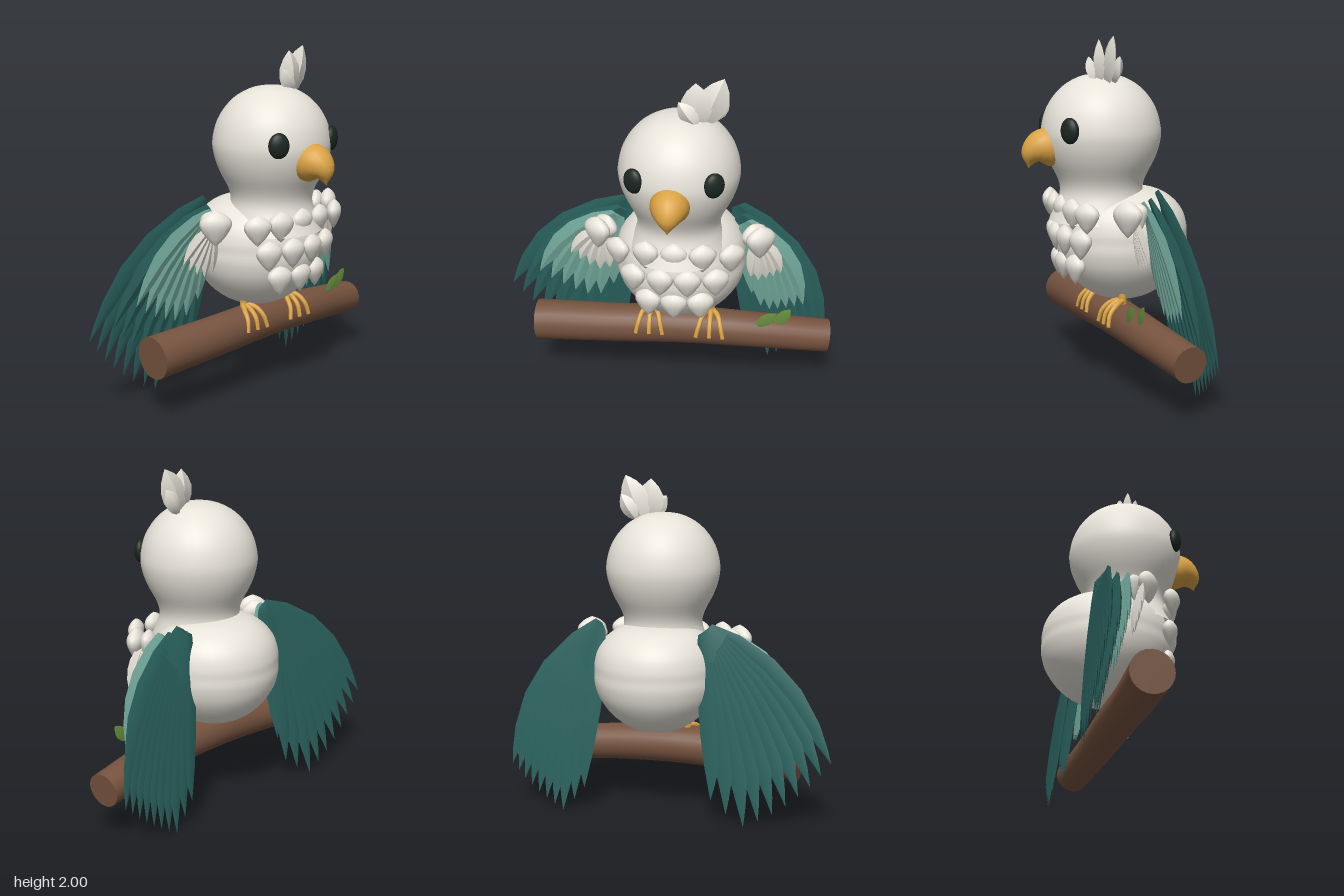
import * as THREE from 'three';
import { toCreasedNormals } from 'three/addons/utils/BufferGeometryUtils.js';

const mat = (name, color) => Object.assign(new THREE.MeshStandardMaterial({ color }), { name });
const white = mat('whitePlumage', 0xe8e4da);
const darkTeal = mat('darkTeal', 0x2a625e);
const lightTeal = mat('lightTeal', 0x76ad9f);
const brown = mat('bark', 0x76533f);
const gold = mat('gold', 0xdba344);
const black = mat('eyeBlack', 0x1a2621);
const green = mat('leafGreen', 0x66903d);

const V = (x, y, z) => new THREE.Vector3(x, y, z);
const lerp = THREE.MathUtils.lerp;

function add(parent, name, geometry, material, x = 0, y = 0, z = 0) {
  const m = new THREE.Mesh(geometry, material);
  m.name = name;
  m.position.set(x, y, z);
  parent.add(m);
  return m;
}

// Skin a list of equal rings and close both ends
function loft(rings, crease = 0.9) {
  const n = rings[0].length, pos = [], idx = [];
  rings.flat().forEach(p => pos.push(p.x, p.y, p.z));
  for (let i = 0; i < rings.length - 1; i++) {
    for (let j = 0; j < n; j++) {
      const a = i * n + j, b = i * n + (j + 1) % n;
      idx.push(a, b, a + n, b, b + n, a + n);
    }
  }
  [0, rings.length - 1].forEach((r, end) => {
    const c = rings[r].reduce((s, p) => s.add(p), V(0, 0, 0)).divideScalar(n);
    const k = pos.length / 3;
    pos.push(c.x, c.y, c.z);
    for (let j = 0; j < n; j++) {
      const a = r * n + j, b = r * n + (j + 1) % n;
      if (end) idx.push(k, a, b); else idx.push(k, b, a);
    }
  });
  const g = new THREE.BufferGeometry();
  g.setAttribute('position', new THREE.Float32BufferAttribute(pos, 3));
  g.setIndex(idx);
  return toCreasedNormals(g, crease);
}

// Round sweep through points [x, y, z, radius]
function sweep(points, steps, sides) {
  const path = new THREE.CatmullRomCurve3(points.map(p => V(p[0], p[1], p[2])));
  const radii = new THREE.SplineCurve(points.map((p, i) => new THREE.Vector2(i, p[3])));
  const rings = [];
  for (let i = 0; i <= steps; i++) {
    const t = i / steps, c = path.getPoint(t), T = path.getTangent(t);
    const ref = Math.abs(T.x) > 0.8 ? V(0, 1, 0) : V(1, 0, 0);
    const B = T.clone().cross(ref).normalize(), N = B.clone().cross(T);
    const r = Math.max(radii.getPoint(t).y, 0);
    rings.push(Array.from({ length: sides }, (_, j) => {
      const a = j / sides * Math.PI * 2;
      return c.clone().addScaledVector(N, r * Math.cos(a)).addScaledVector(B, r * Math.sin(a));
    }));
  }
  return loft(rings);
}

// Pointed blade hanging down from its root, bowed sideways by bend
function feather(length, half, thick, bend = 0) {
  const shape = [[0, 0.35], [0.15, 0.75], [0.38, 1], [0.6, 0.95], [0.8, 0.62], [0.92, 0.28], [1, 0.01]];
  return loft(shape.map(([t, w]) => [0, 1, 2, 3].map(j => {
    const a = j * Math.PI / 2;
    return V(half * w * Math.cos(a) + bend * 4 * t * (1 - t), -length * t, thick * w * Math.sin(a));
  })), 0.5);
}

// Turned shape with a smooth profile of [radius, y], bottom to top
function turned(points, segments = 40) {
  const curve = new THREE.SplineCurve(points.map(p => new THREE.Vector2(p[0], p[1])));
  const pts = curve.getPoints(36);
  pts.forEach(p => { p.x = Math.max(p.x, 0); });
  return new THREE.LatheGeometry(pts, segments);
}

// Plump drop-shaped plume
function plume(scale) {
  const g = turned([[0, -0.095], [0.035, -0.06], [0.068, -0.008], [0.068, 0.028], [0.038, 0.058], [0, 0.075]], 12);
  return g.scale(scale * 1.06, scale, scale * 0.58);
}

function makeWing(s) {
  const wing = new THREE.Group();
  wing.name = s > 0 ? 'leftWing' : 'rightWing';
  const spread = s > 0 ? 0.66 : 1;
  // [name, material, count, root x, y, z, inner angle, outer angle, inner, middle, outer length, half width, bend]
  const layers = [
    ['flightFeather', darkTeal, 10, 0.31, 1.15, -0.12, 5, 46, 0.97, 1.15, 1.05, 0.074, 0.095],
    ['secondaryFeather', darkTeal, 8, 0.33, 1.11, -0.06, 5, 45, 0.8, 0.92, 0.88, 0.07, 0.08],
    ['covertFeather', lightTeal, 7, 0.36, 1.1, 0.0, 7, 45, 0.5, 0.64, 0.69, 0.066, 0.065],
    ['shoulderFeather', white, 5, 0.43, 1.03, 0.09, -3, 44, 0.24, 0.27, 0.27, 0.042, 0.02],
  ];
  for (const [name, m, n, x, y, z, a0, a1, l0, l1, l2, w, bend] of layers) {
    for (let i = 0; i < n; i++) {
      const t = i / (n - 1);
      const len = t < 0.22 ? lerp(l0, l1, t / 0.22) : lerp(l1, l2, (t - 0.22) / 0.78);
      const f = add(wing, name, feather(len, w, 0.018, s * bend * (0.3 + 0.7 * t)), m,
        s * (x + 0.03 * t), y - 0.04 * (1 - t), z + 0.005 * i);
      f.rotation.set(0.1, s * 0.08, s * THREE.MathUtils.degToRad(lerp(a0, a1 * spread, t)));
    }
  }
  // Plumes capping the shoulder
  add(wing, 'shoulderPlume', plume(1.2), white, s * 0.47, 1.04, 0.15).rotation.y = s * 0.6;
  add(wing, 'shoulderPlume', plume(1.05), white, s * 0.43, 1.04, 0.09).rotation.set(0, s * 0.6, s * 0.3);
  return wing;
}

export function createModel() {
  const model = new THREE.Group();
  model.name = 'bird';
  model.position.set(0.125, 0, 0.02);
  model.rotation.y = Math.PI / 6;
  const root = new THREE.Group();
  root.name = 'birdOnBranch';
  root.add(model);

  // Body and head
  add(model, 'body', turned([[0, 0.48], [0.14, 0.505], [0.26, 0.58], [0.345, 0.69], [0.378, 0.79],
    [0.378, 0.86], [0.376, 0.92], [0.35, 1.0], [0.285, 1.075], [0.18, 1.125], [0, 1.145]]), white);
  const head = turned([[0.3, 0.96], [0.255, 1.06], [0.237, 1.13], [0.252, 1.2], [0.303, 1.3],
    [0.334, 1.39], [0.341, 1.48], [0.308, 1.6], [0.23, 1.705], [0.12, 1.77], [0, 1.79]]);
  add(model, 'head', head, white, 0, 0, 0.125);

  // Hooked beak
  add(model, 'beak', sweep([[0, 1.375, 0.34, 0.1], [0, 1.383, 0.42, 0.11], [0, 1.372, 0.485, 0.102],
    [0, 1.335, 0.535, 0.066], [0, 1.265, 0.555, 0]], 18, 20), gold, -0.012);

  // Crest: [base x, y, z, tip dx, dy, half width]
  [[0.1, 1.74, 0.17, -0.01, 0.24, 0.085], [0.13, 1.74, 0.14, 0.11, 0.26, 0.085],
    [0.17, 1.75, 0.11, 0.09, 0.14, 0.05], [0.1, 1.75, 0.2, -0.1, 0.13, 0.05]].forEach(([x, y, z, dx, dy, w]) => {
    add(model, 'crestFeather', feather(Math.hypot(dx, dy), w, 0.034), white, x, y, z)
      .rotation.z = Math.atan2(dx, -dy);
  });

  // Chest plumes in three rows: [count, y, spacing, middle z, curvature]
  [[5, 1.03, 0.16, 0.365, 0.35], [4, 0.87, 0.157, 0.378, 0.75], [3, 0.715, 0.15, 0.357, 0.8]].forEach(([n, y, gap, z, c]) => {
    for (let i = 0; i < n; i++) {
      const x = (i - (n - 1) / 2) * gap;
      add(model, 'chestPlume', plume(1.04), white, x, y, z - c * x * x).rotation.y = x * 1.8;
    }
  });

  const toeCurve = k => [0, 0.3, 0.65, 1].map(t => {
    const a = t * 1.6;
    return [k * 0.08 * Math.sqrt(t), 0.385 + 0.127 * Math.cos(a), 0.06 + 0.127 * Math.sin(a), 0.017 - 0.005 * t];
  });
  for (const s of [-1, 1]) {
    model.add(makeWing(s));
    // Eyes
    const eye = add(model, 'eye', new THREE.SphereGeometry(1, 24, 16), black, s * 0.218, 1.49, 0.387);
    eye.scale.set(0.06, 0.072, 0.036);
    eye.rotation.y = s * 0.5;
    // Legs and gripping toes
    const footX = s * 0.18 + 0.01;
    add(model, 'leg', new THREE.CylinderGeometry(0.022, 0.024, 0.09, 10), gold, footX, 0.535, 0.07);
    for (const k of [-1, 0, 1]) add(model, 'toe', sweep(toeCurve(k), 10, 8), gold, footX);
  }

  // Branch with two leaves
  add(model, 'branch', sweep([[-0.868, 0.35, 0.064, 0.122], [-0.4, 0.374, 0.075, 0.117],
    [0, 0.385, 0.06, 0.114], [0.45, 0.364, 0.03, 0.107], [0.885, 0.315, -0.035, 0.1]], 24, 24), brown);
  [[0.47, 0.475, 0.155, 0.11, 0.09], [0.58, 0.48, 0.13, 0.08, 0.105]].forEach(([x, y, z, dx, dy]) => {
    const leaf = add(model, 'leaf', feather(Math.hypot(dx, dy), 0.036, 0.006), green, x, y, z);
    leaf.rotation.z = Math.atan2(dx, -dy);
  });
  return root;
}
